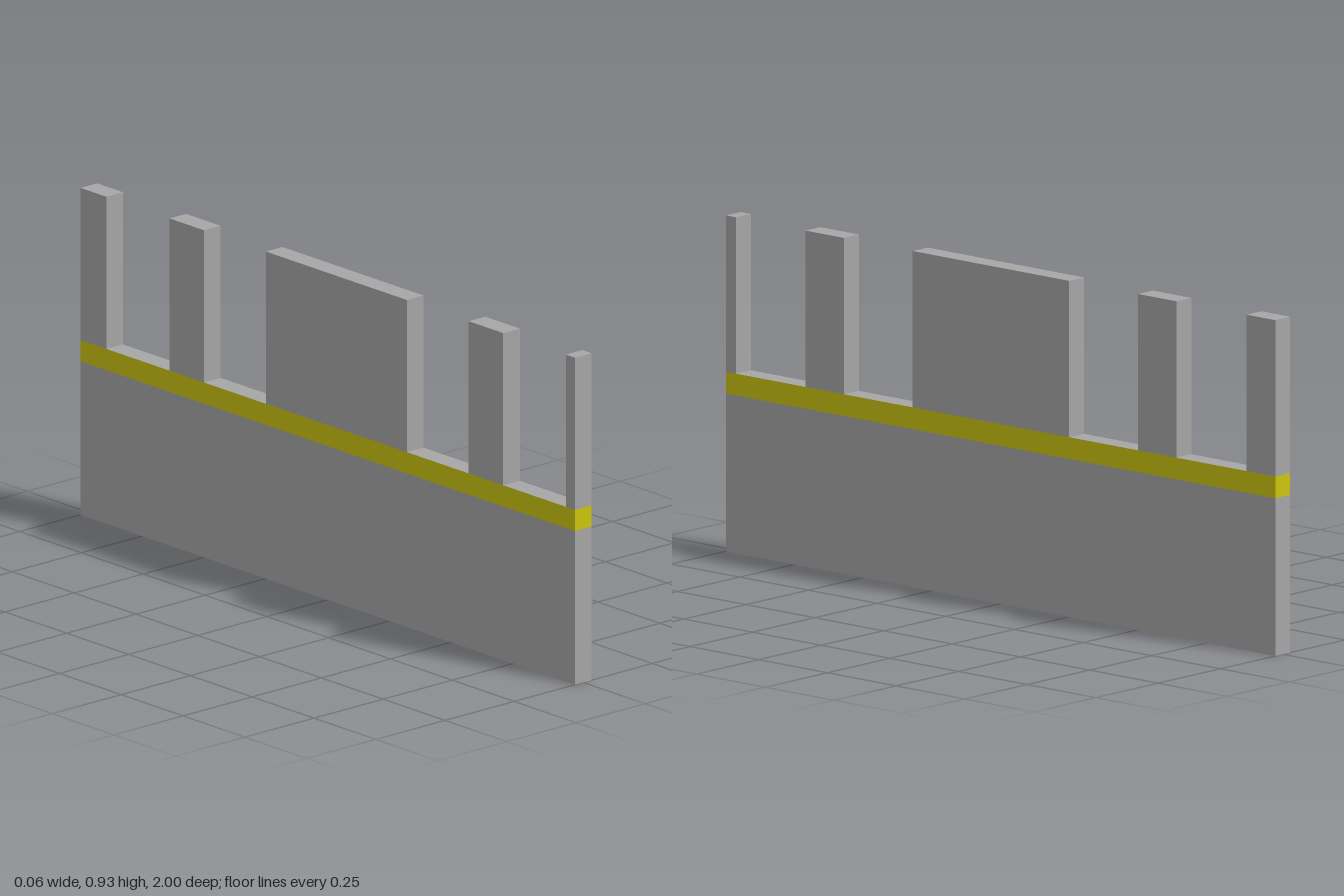
import * as THREE from 'three';

export function createModel() {
  const group = new THREE.Group();
  const grey = new THREE.MeshStandardMaterial({ color: 0xa6a6a6 });
  grey.name = 'wall grey';
  const yellow = new THREE.MeshStandardMaterial({ color: 0xccc40f });
  yellow.name = 'stripe yellow';

  const thickness = 0.06, bandBottom = 0.435, sill = 0.495, top = 0.926;

  // Box spanning the wall thickness between two heights and two depths
  function block(name, y0, y1, z0, z1, material) {
    const mesh = new THREE.Mesh(new THREE.BoxGeometry(thickness, y1 - y0, z1 - z0), material);
    mesh.name = name;
    mesh.position.set(0, (y0 + y1) / 2, (z0 + z1) / 2);
    group.add(mesh);
  }

  // Lower wall
  block('lowerWall', 0, bandBottom, -1, 1, grey);

  // Painted band: yellow sides, grey window sill on top
  block('stripeBand', bandBottom, sill, -1, 1, [yellow, yellow, grey, grey, yellow, yellow]);

  // Upright piers between the window openings
  const piers = [
    ['backPier', -1, -0.895],
    ['backMullion', -0.64, -0.5],
    ['middlePanel', -0.25, 0.32],
    ['frontMullion', 0.57, 0.71],
    ['frontPier', 0.963, 1],
  ];
  for (const [name, z0, z1] of piers) block(name, sill, top, z0, z1, grey);

  return group;
}
